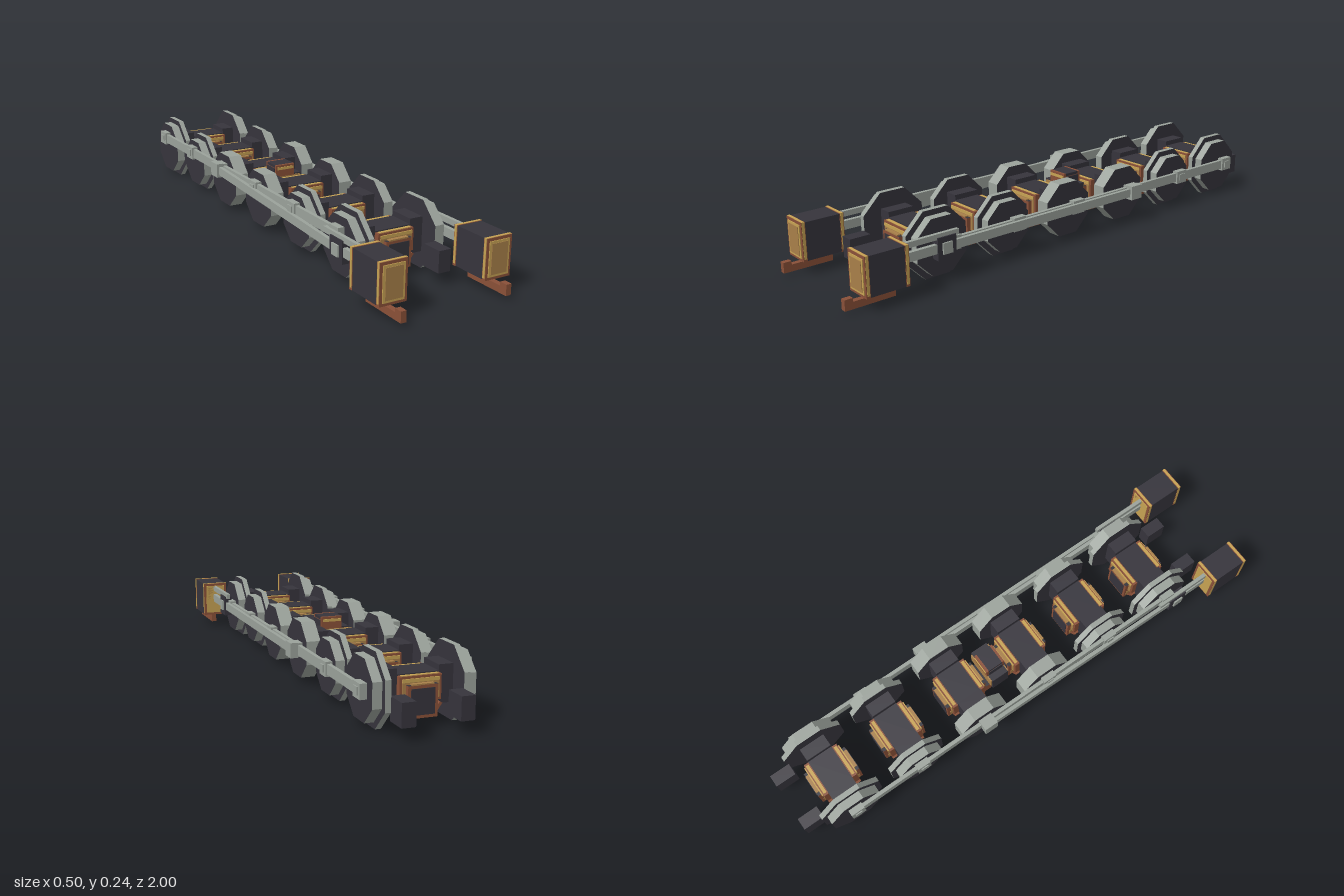
import * as THREE from 'three';

const mat = (name, color) => new THREE.MeshStandardMaterial({ name, color, flatShading: true });

export function createModel() {
  const steel = mat('steel', 0x9ba29b);
  const dark = mat('dark iron', 0x36343c);
  const copper = mat('copper', 0x8a5038);
  const brass = mat('brass', 0xa87f49);
  const gold = mat('light brass', 0xc6a253);

  const model = new THREE.Group();
  model.name = 'runningGear';

  // Box given by its limits; material may be an array of six faces
  function box(parent, name, material, x0, x1, y0, y1, z0, z1) {
    const m = new THREE.Mesh(new THREE.BoxGeometry(x1 - x0, y1 - y0, z1 - z0), material);
    m.position.set((x0 + x1) / 2, (y0 + y1) / 2, (z0 + z1) / 2);
    m.name = name;
    parent.add(m);
    return m;
  }
  function group(name, z = 0) {
    const g = new THREE.Group();
    g.name = name;
    g.position.z = z;
    model.add(g);
    return g;
  }
  // Octagonal disc along x with a steel rim and dark faces
  function disc(parent, name, apothem, x0, x1, y) {
    const r = apothem / Math.cos(Math.PI / 8);
    const geo = new THREE.CylinderGeometry(r, r, x1 - x0, 8);
    geo.rotateY(Math.PI / 8);
    geo.rotateZ(Math.PI / 2);
    const m = new THREE.Mesh(geo, [steel, dark, dark]);
    m.position.set((x0 + x1) / 2, y, 0);
    m.name = name;
    parent.add(m);
  }
  // Rod between two points in a vertical plane
  function rod(name, x0, x1, za, ya, zb, yb, h) {
    const m = box(model, name, steel, x0, x1, -h / 2, h / 2, 0, Math.hypot(zb - za, yb - ya));
    m.position.set((x0 + x1) / 2, (ya + yb) / 2, (za + zb) / 2);
    m.rotation.x = -Math.atan2(yb - ya, zb - za);
  }
  const darkTop = [copper, copper, dark, dark, copper, copper];

  const axles = [0, 1, 2, 3, 4, 5].map(i => 0.605 - 0.2825 * i);
  const WY = 0.12;

  axles.forEach((z, i) => {
    const axle = group('axle' + (i + 1), z);
    const end = i === 0 || i === 5, blind = i === 2 || i === 3;

    // Wheels: the middle pairs have no flange
    for (const s of [-1, 1]) {
      const span = (a, b) => (s > 0 ? [a, b] : [-b, -a]);
      if (!blind) disc(axle, 'wheelFlange', end ? 0.12 : 0.11, ...span(0.12, 0.14), WY);
      disc(axle, 'wheelTread', blind || end ? 0.1 : 0.09, ...span(blind ? 0.12 : 0.14, 0.172), WY);
      box(axle, 'axleBox', dark, ...span(0.07, 0.12), 0.06, 0.183, -0.05, 0.05);
      // Slanted copper bracket under the motor
      const b = box(axle, 'motorBracket', copper, -0.018, 0.018, -0.005, 0.005, -0.07, 0.07);
      b.position.set(s * 0.06, 0.055, 0);
      b.rotation.z = s * 0.95;
    }

    // Motor casing with brass shoulders and a dark lid
    box(axle, 'motorCasing', copper, -0.07, 0.07, 0.08, 0.16, -0.07, 0.07);
    box(axle, 'motorLid', dark, -0.07, 0.07, 0.155, 0.164, -0.05, 0.05);
    box(axle, 'gearCase', darkTop, -0.05, 0.05, 0.032, 0.135, -0.088, 0.088);
    box(axle, 'gearCaseTop', brass, -0.037, 0.037, 0.134, 0.139, -0.088, 0.088);
    for (const s of [-1, 1]) {
      box(axle, 'shoulderTrim', gold, -0.062, 0.062, 0.158, 0.162, s * 0.06 - 0.006, s * 0.06 + 0.006);
      box(axle, 'shoulderPlate', brass, -0.062, 0.062, 0.088, 0.152, s * 0.071 - 0.002, s * 0.071 + 0.002);
      box(axle, 'shoulderStripe', gold, -0.062, 0.062, 0.142, 0.153, s * 0.073 - 0.002, s * 0.073 + 0.002);
      box(axle, 'gearCasePlate', dark, -0.04, 0.04, 0.042, 0.125, s * 0.088 - 0.002, s * 0.088 + 0.002);
      box(axle, 'gearCaseSide', brass, s * 0.05 - 0.002, s * 0.05 + 0.002, 0.042, 0.075, -0.078, 0.078);
    }
  });

  // Central drive unit between the middle axles
  const drive = group('centralDrive', -0.1);
  box(drive, 'driveBase', darkTop, -0.05, 0.05, 0.033, 0.08, -0.1, 0.1);
  box(drive, 'driveCasing', dark, -0.07, 0.07, 0.08, 0.16, -0.035, 0.035);
  box(drive, 'driveTower', copper, -0.04, 0.04, 0.155, 0.19, -0.04, 0.04);
  box(drive, 'driveLid', dark, -0.04, 0.04, 0.19, 0.2, -0.03, 0.03);
  for (const s of [-1, 1]) {
    box(drive, 'driveLidTrim', copper, -0.04, 0.04, 0.19, 0.2, s * 0.035 - 0.005, s * 0.035 + 0.005);
    box(drive, 'drivePlate', gold, -0.035, 0.035, 0.182, 0.192, s * 0.041 - 0.002, s * 0.041 + 0.002);
    box(drive, 'driveCasingTrim', brass, -0.065, 0.065, 0.1, 0.155, s * 0.037 - 0.003, s * 0.037 + 0.003);
    box(drive, 'driveSide', dark, s * 0.041 - 0.002, s * 0.041 + 0.002, 0.16, 0.188, -0.03, 0.03);
  }

  for (const s of [-1, 1]) {
    const span = (a, b) => (s > 0 ? [a, b] : [-b, -a]);

    // Frame end blocks
    box(model, 'frontFrameBlock', dark, ...span(0.073, 0.12), 0.043, 0.12, 0.73, 0.81);
    box(model, 'rearFrameBlock', dark, ...span(0.073, 0.12), 0.043, 0.12, -1, -0.92);

    // Cylinder block: dark body, copper-edged brass ends
    box(model, 'cylinderBody', dark, ...span(0.151, 0.249), 0.051, 0.189, 0.79, 0.94);
    for (const [a, b, e] of [[0.785, 0.8, -1], [0.93, 0.945, 1]]) {
      box(model, 'cylinderEnd', copper, ...span(0.15, 0.25), 0.05, 0.19, a, b);
      const f = e > 0 ? b : a;
      box(model, 'cylinderGoldPlate', gold, ...span(0.16, 0.24), 0.06, 0.18, f - 0.003, f + 0.003);
      box(model, 'cylinderBrassPlate', brass, ...span(0.168, 0.232), 0.068, 0.172, f - 0.003, f + 0.005);
      const m = (a + b) / 2;
      box(model, 'cylinderBand', gold, ...span(0.149, 0.251), 0.058, 0.191, m - 0.005, m + 0.005);
    }
    box(model, 'drainPipe', copper, ...span(0.19, 0.21), 0.012, 0.037, 0.815, 1);
    box(model, 'drainPipeEnd', copper, ...span(0.19, 0.21), 0.012, 0.05, 0.97, 1);
    box(model, 'drainPipeMount', copper, ...span(0.19, 0.21), 0.037, 0.052, 0.815, 0.85);

    // Cranks on the two sides are a quarter turn apart
    const dz = s > 0 ? -0.035 : 0, py = s > 0 ? 0.125 : 0.165;
    const cz = s > 0 ? 0.612 : 0.645;
    rod('couplingRod', ...span(0.176, 0.19), axles[5] + dz, py, axles[0] + dz, py, 0.036);
    axles.forEach(z => {
      box(model, 'rodBoss', steel, ...span(0.17, 0.196), py - 0.025, py + 0.025, z + dz - 0.027, z + dz + 0.027);
      box(model, 'crankPin', steel, ...span(0.17, 0.2), py - 0.013, py + 0.013, z + dz - 0.014, z + dz + 0.014);
    });

    // Main rod, crosshead, guide and piston rod
    rod('mainRod', ...span(0.194, 0.208), axles[3] + dz, py, cz, 0.125, 0.032);
    box(model, 'mainRodBoss', steel, ...span(0.19, 0.217), py - 0.027, py + 0.027, axles[3] + dz - 0.027, axles[3] + dz + 0.027);
    box(model, 'crosshead', dark, ...span(0.182, 0.212), 0.085, 0.165, cz - 0.037, cz + 0.037);
    box(model, 'crossheadPin', steel, ...span(0.182, 0.218), 0.105, 0.145, cz - 0.019, cz + 0.019);
    box(model, 'slideGuide', steel, ...span(0.193, 0.207), 0.158, 0.178, 0.56, 0.79);
    box(model, 'pistonRod', steel, ...span(0.192, 0.208), 0.11, 0.142, cz, 0.79);
  }
  return model;
}
